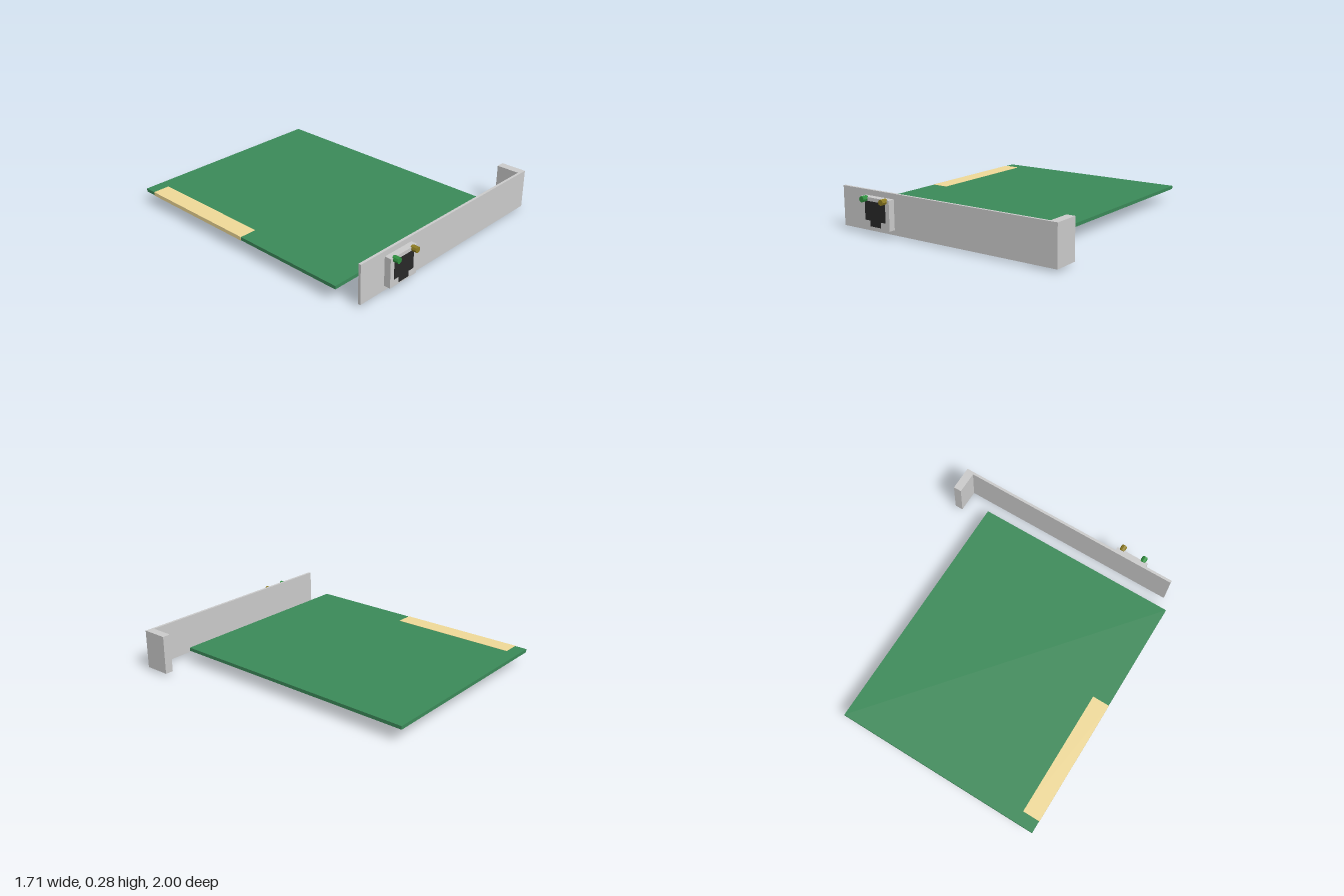
import * as THREE from 'three';

const mat = (color) => new THREE.MeshStandardMaterial({ color, flatShading: true });

export function createModel() {
  const model = new THREE.Group();
  model.name = 'networkCard';
  const grey = mat(0xcccccc), black = mat(0x282828);
  const green = mat(0x3b8a59), gold = mat(0xf0da98);

  const add = (name, geometry, material) => {
    const mesh = new THREE.Mesh(geometry, material);
    mesh.name = name;
    model.add(mesh);
    return mesh;
  };
  // Box given by its limits along each axis
  const box = (name, material, [x0, x1], [y0, y1], [z0, z1]) =>
    add(name, new THREE.BoxGeometry(x1 - x0, y1 - y0, z1 - z0), material)
      .position.set((x0 + x1) / 2, (y0 + y1) / 2, (z0 + z1) / 2);

  // Circuit board with its edge connector
  box('circuitBoard', green, [-0.855, 0.6], [0.09, 0.113], [-1, 0.785]);
  box('edgeConnector', gold, [-0.857, -0.737], [0.0885, 0.1145], [-0.915, -0.02]);

  // Components on the underside
  box('transformerBlock', black, [-0.26, -0.085], [0, 0.09], [0.33, 0.475]);
  box('crystal', grey, [0.088, 0.146], [0.048, 0.09], [-0.03, 0.09]);
  box('mainChip', black, [-0.295, -0.05], [0.065, 0.09], [-0.235, 0.005]);

  // Mounting bracket: an L seen from above, extruded upwards
  const bracket = new THREE.Shape([
    [-0.793, -0.92], [0.855, -0.92], [0.855, -0.742],
    [0.797, -0.742], [0.797, -0.902], [-0.793, -0.902],
  ].map(([x, y]) => new THREE.Vector2(x, y)));
  const bracketGeometry = new THREE.ExtrudeGeometry(bracket, { depth: 0.265, bevelEnabled: false });
  bracketGeometry.rotateX(-Math.PI / 2);
  add('bracket', bracketGeometry, grey).position.y = 0.017;

  // Port housing and its stepped opening
  box('portHousing', grey, [-0.59, -0.353], [0.05, 0.246], [0.92, 0.965]);
  const opening = new THREE.Shape([
    [-0.557, 0.222], [-0.557, 0.098], [-0.515, 0.098], [-0.515, 0.061],
    [-0.427, 0.061], [-0.427, 0.098], [-0.385, 0.098], [-0.385, 0.222],
  ].map(([x, y]) => new THREE.Vector2(x, y)));
  add('portOpening', new THREE.ExtrudeGeometry(opening, { depth: 0.006, bevelEnabled: false }), black)
    .position.z = 0.962;

  // Status lights
  for (const [name, x, color] of [['greenLight', -0.553, 0x2f9140], ['yellowLight', -0.389, 0x8f7d22]]) {
    const light = new THREE.CylinderGeometry(0.02, 0.02, 0.044, 8).rotateX(Math.PI / 2);
    add(name, light, mat(color)).position.set(x, 0.235, 0.978);
  }
  return model;
}
